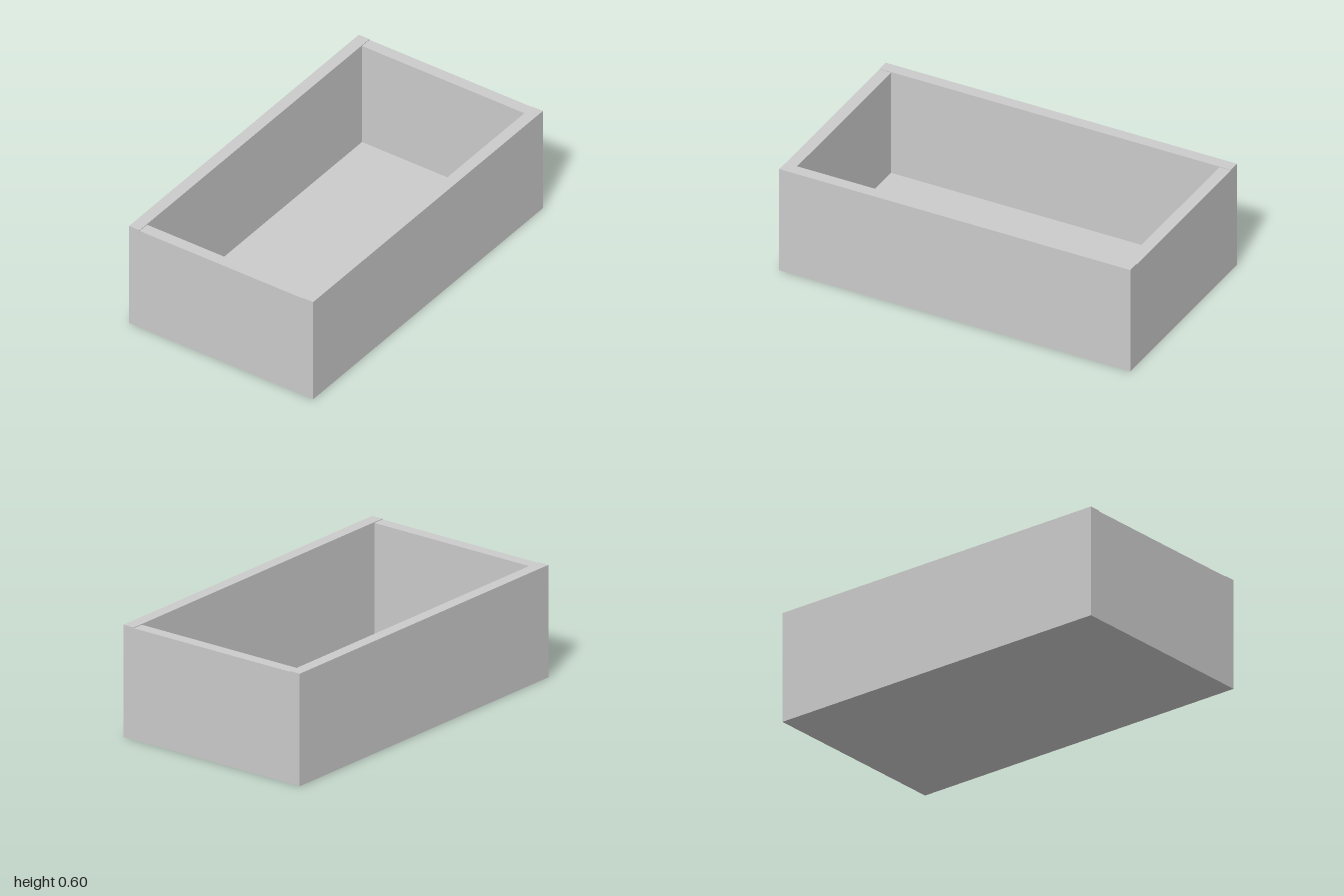
import * as THREE from 'three';

const WIDTH = 1.13, LENGTH = 2, WALL = 0.065;
const FLOOR = 0.003, SIDE_TOP = 0.602, END_TOP = 0.598;

export function createModel() {
  const tray = new THREE.Group();
  tray.name = 'openBox';
  const material = new THREE.MeshStandardMaterial({ color: 0xcccccc });

  // Adds a panel spanning bottom..top in height
  const panel = (name, w, d, bottom, top, x = 0, z = 0) => {
    const mesh = new THREE.Mesh(new THREE.BoxGeometry(w, top - bottom, d), material);
    mesh.name = name;
    mesh.position.set(x, (bottom + top) / 2, z);
    tray.add(mesh);
  };

  // Thin bottom sheet under the whole footprint
  panel('floor', WIDTH, LENGTH, 0, FLOOR);

  // Full-length side walls, with slightly lower end walls fitted between them
  for (const s of [1, -1]) {
    panel(s > 0 ? 'leftWall' : 'rightWall', WALL, LENGTH, FLOOR, SIDE_TOP, s * (WIDTH - WALL) / 2, 0);
    panel(s > 0 ? 'frontWall' : 'backWall', WIDTH - 2 * WALL, WALL, FLOOR, END_TOP, 0, s * (LENGTH - WALL) / 2);
  }
  return tray;
}
